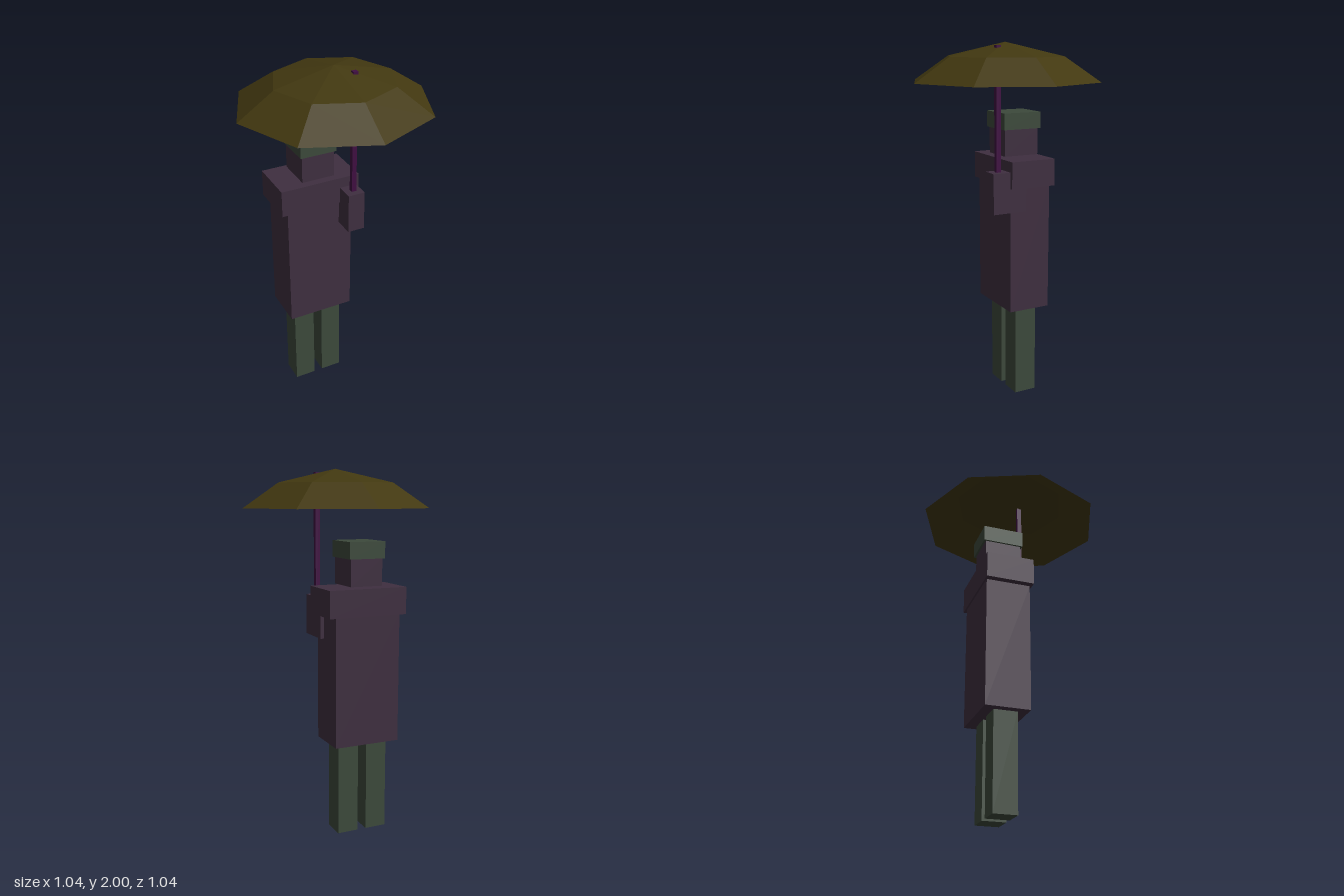
import * as THREE from 'three';

export function createModel() {
  const model = new THREE.Group();
  const material = (name, color, extra = {}) => {
    const m = new THREE.MeshStandardMaterial({ color, flatShading: true, ...extra });
    m.name = name;
    return m;
  };
  const coat = material('plum coat', 0x3f2f40);
  const green = material('dark green', 0x3d4a3c);
  const olive = material('olive canopy', 0x423810, { side: THREE.DoubleSide });
  const purple = material('purple pole', 0x400f42);

  // Box given by its lower and upper limits on each axis
  const box = (name, mat, [x0, x1], [y0, y1], [z0, z1]) => {
    const mesh = new THREE.Mesh(new THREE.BoxGeometry(x1 - x0, y1 - y0, z1 - z0), mat);
    mesh.position.set((x0 + x1) / 2, (y0 + y1) / 2, (z0 + z1) / 2);
    mesh.name = name;
    model.add(mesh);
  };

  // Figure
  box('rightLeg', green, [-0.236, -0.115], [0, 0.522], [-0.167, -0.038]);
  box('leftLeg', green, [-0.064, 0.056], [0, 0.522], [-0.167, -0.038]);
  box('coatBody', coat, [-0.28, 0.097], [0.522, 1.232], [-0.225, 0.018]);
  box('shoulders', coat, [-0.315, 0.135], [1.232, 1.38], [-0.234, 0.03]);
  box('head', coat, [-0.183, 0.001], [1.389, 1.535], [-0.203, 0]);
  box('hat', green, [-0.193, 0.012], [1.535, 1.625], [-0.215, 0.01]);
  box('arm', coat, [0.022, 0.117], [1.1, 1.322], [-0.067, 0.132]);

  // Umbrella: a pole that just pierces an open eight-sided canopy
  box('umbrellaPole', purple, [0.059, 0.085], [1.2, 1.985], [0.071, 0.097]);
  const profile = [[0.518, 1.797], [0.322, 1.927], [0, 2]].map(([r, y]) => new THREE.Vector2(r, y));
  const canopy = new THREE.Mesh(new THREE.LatheGeometry(profile, 8), olive);
  canopy.name = 'umbrellaCanopy';
  model.add(canopy);

  return model;
}
